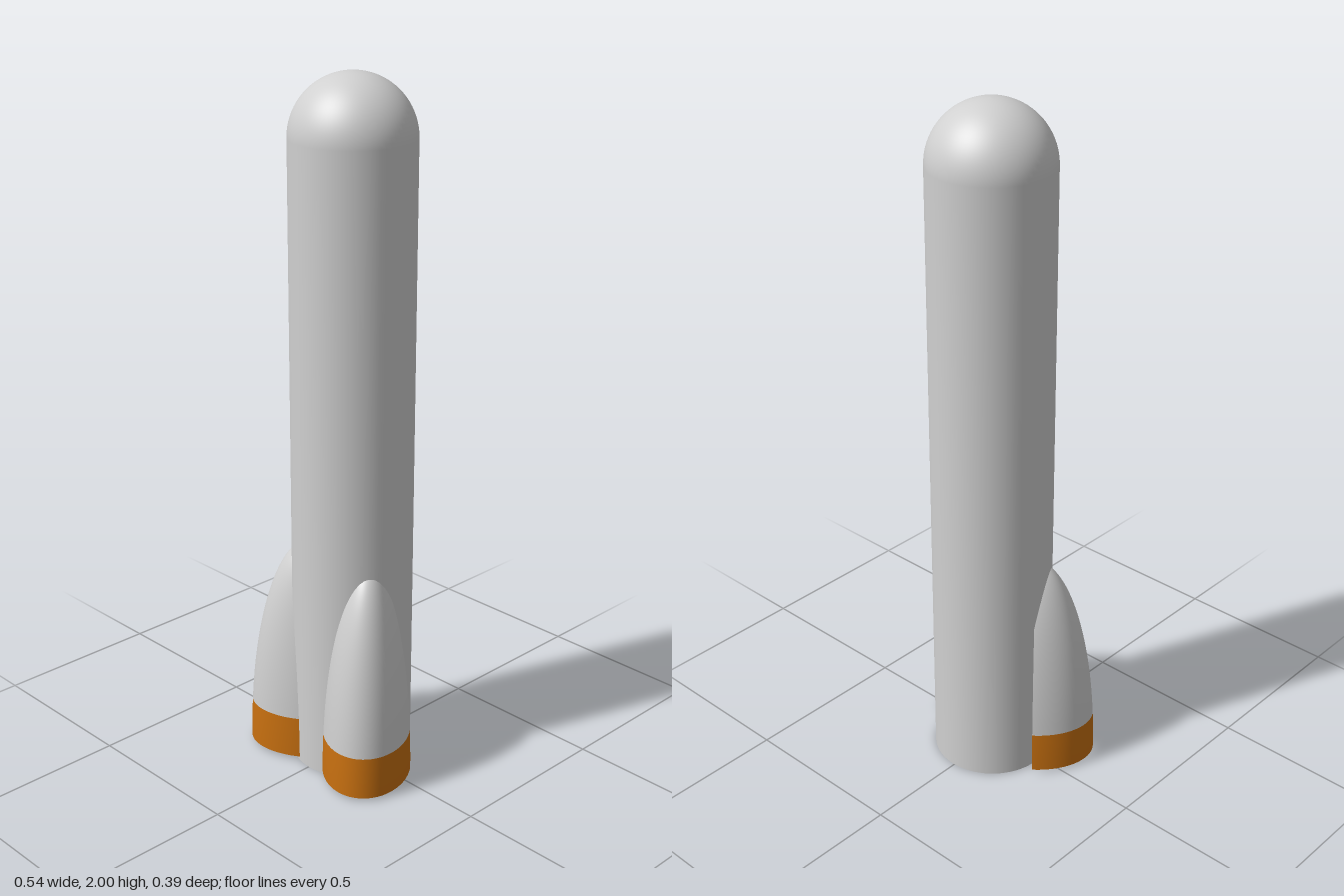
import * as THREE from 'three';

const BODY = { x: 0.004, z: -0.022, r: 0.173, height: 2 };
const FIN = { halfWidth: 0.128, height: 0.656, depth: 0.178, base: 0.01, bandTop: 0.135 };

// Half of an ellipsoid shell between two heights, open at the back and bottom
function shellGeometry(y0, y1, steps) {
  const a0 = Math.asin(y0 / FIN.height);
  const a1 = Math.asin(y1 / FIN.height);
  const points = [];
  for (let i = 0; i <= steps; i++) {
    const a = a0 + (a1 - a0) * i / steps;
    points.push(new THREE.Vector2(Math.max(Math.cos(a), 1e-5), Math.sin(a)));
  }
  const geometry = new THREE.LatheGeometry(points, 40, -Math.PI / 2, Math.PI);
  return geometry.scale(FIN.halfWidth, FIN.height, FIN.depth);
}

export function createModel() {
  const model = new THREE.Group();
  model.name = 'rocket';

  const grey = new THREE.MeshStandardMaterial({ color: 0xd0d0d0, side: THREE.DoubleSide });
  grey.name = 'light grey';
  const orange = new THREE.MeshStandardMaterial({ color: 0xc87010, side: THREE.DoubleSide });
  orange.name = 'orange';

  const add = (parent, name, geometry, material) => {
    const mesh = new THREE.Mesh(geometry, material);
    mesh.name = name;
    parent.add(mesh);
    return mesh;
  };

  // Straight tube with a hemispherical nose
  const shoulder = BODY.height - BODY.r;
  const profile = [new THREE.Vector2(BODY.r, 0)];
  for (let i = 0; i <= 20; i++) {
    const a = Math.PI / 2 * i / 20;
    profile.push(new THREE.Vector2(Math.max(BODY.r * Math.cos(a), 1e-5), shoulder + BODY.r * Math.sin(a)));
  }
  const body = add(model, 'body', new THREE.LatheGeometry(profile, 72), grey);
  body.position.set(BODY.x, 0, BODY.z);

  // Flat disc closing the tail
  const tail = add(model, 'tailDisc', new THREE.CircleGeometry(BODY.r, 72).rotateX(Math.PI / 2), orange);
  tail.position.set(BODY.x, 0, BODY.z);

  // Two hollow booster fairings, each with a coloured band at the foot
  const fairings = [
    ['leftFairing', 0.120, 0.0315, 38.1],
    ['rightFairing', -0.115, 0.034, -51.5],
  ];
  for (const [name, x, z, degrees] of fairings) {
    const fairing = new THREE.Group();
    fairing.name = name;
    add(fairing, 'shell', shellGeometry(FIN.bandTop, FIN.height, 28), grey);
    add(fairing, 'band', shellGeometry(FIN.base, FIN.bandTop, 5), orange);
    fairing.position.set(x, 0, z);
    fairing.rotation.y = THREE.MathUtils.degToRad(degrees);
    model.add(fairing);
  }

  return model;
}
